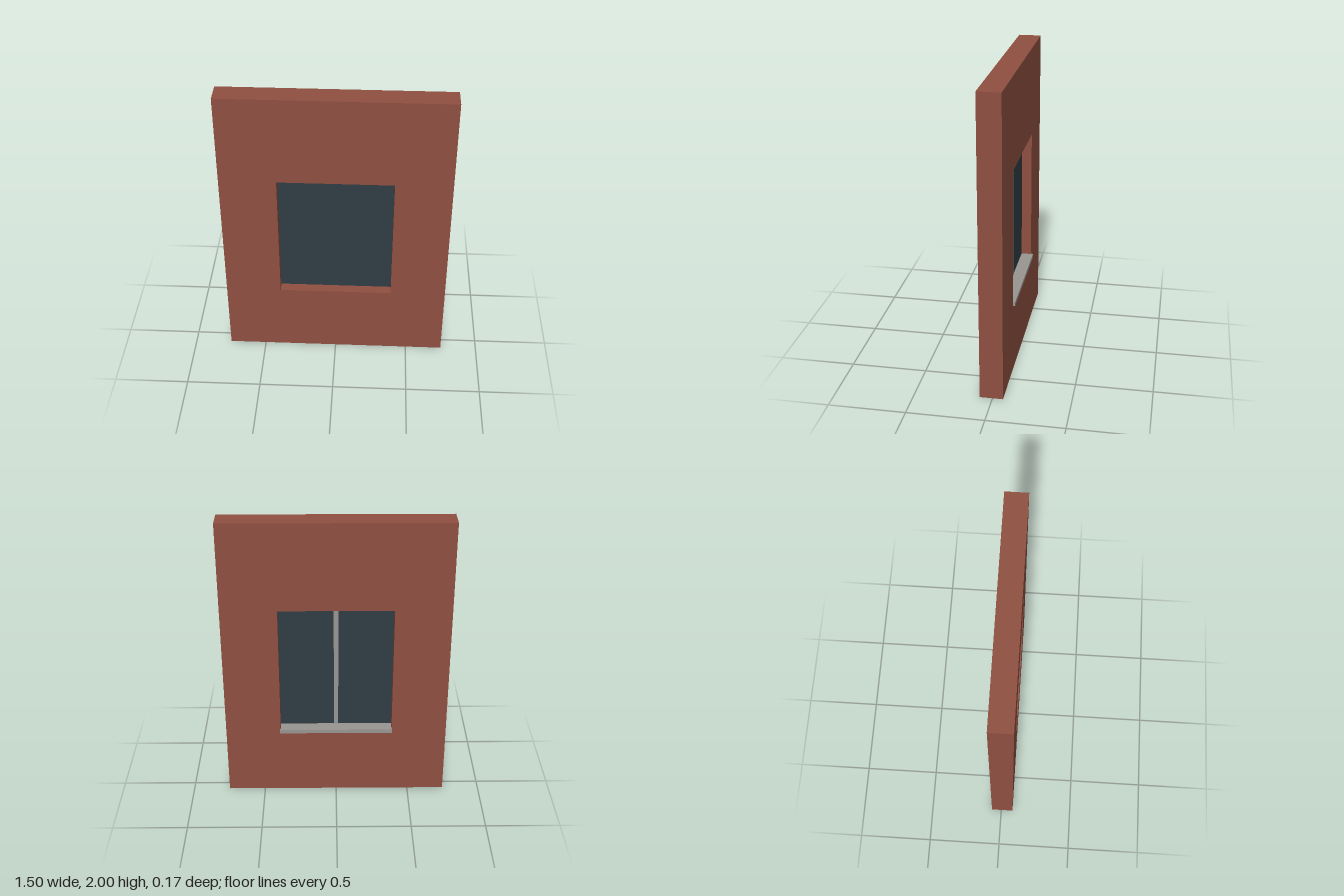
import * as THREE from 'three';

const W = 0.75, H = 2;                        // half width and height of the wall
const FRONT = 0.0825, BACK = -0.0675;         // wall faces
const OX = 0.378, OY0 = 0.5, OY1 = 1.4;       // window opening
const MID = (FRONT + BACK) / 2, DEPTH = FRONT - BACK;

const brick = new THREE.MeshStandardMaterial({ color: 0x8f5041, side: THREE.DoubleSide });
const glass = new THREE.MeshStandardMaterial({ color: 0x303d45 });
const trim = new THREE.MeshStandardMaterial({ color: 0x999691 });

function add(parent, name, geometry, material, x, y, z) {
  const mesh = new THREE.Mesh(geometry, material);
  mesh.name = name;
  mesh.position.set(x, y, z);
  parent.add(mesh);
  return mesh;
}

// Rectangular wall face with the window cut out
function faceGeometry() {
  const shape = new THREE.Shape();
  shape.moveTo(-W, 0).lineTo(W, 0).lineTo(W, H).lineTo(-W, H).closePath();
  const hole = new THREE.Path();
  hole.moveTo(-OX, OY0).lineTo(-OX, OY1).lineTo(OX, OY1).lineTo(OX, OY0).closePath();
  shape.holes.push(hole);
  return new THREE.ShapeGeometry(shape);
}

export function createModel() {
  const model = new THREE.Group();
  model.name = 'windowWall';

  // Hollow wall, open underneath
  const wall = new THREE.Group();
  wall.name = 'wall';
  model.add(wall);
  add(wall, 'frontFace', faceGeometry(), brick, 0, 0, FRONT);
  add(wall, 'backFace', faceGeometry(), brick, 0, 0, BACK).rotation.y = Math.PI;

  // Ends, and the upright panels that form the jambs and run down to the base
  for (const s of [-1, 1]) {
    add(wall, 'endFace', new THREE.PlaneGeometry(DEPTH, H), brick, s * W, H / 2, MID)
      .rotation.y = s * Math.PI / 2;
    add(wall, 'jamb', new THREE.PlaneGeometry(DEPTH, OY1), brick, s * OX, OY1 / 2, MID)
      .rotation.y = -s * Math.PI / 2;
  }

  // Top of the wall, and the ledge and head of the opening
  const levels = [['topFace', W, H, -1], ['ledge', OX, OY0, -1], ['head', OX, OY1, 1]];
  for (const [name, half, y, turn] of levels) {
    add(wall, name, new THREE.PlaneGeometry(2 * half, DEPTH), brick, 0, y, MID)
      .rotation.x = turn * Math.PI / 2;
  }

  // Window pane, centre bar and outside sill
  const paneH = OY1 - OY0, paneY = (OY0 + OY1) / 2;
  add(model, 'pane', new THREE.BoxGeometry(2 * OX, paneH, 0.015), glass, 0, paneY, MID);
  add(model, 'centreBar', new THREE.BoxGeometry(0.03, paneH, 0.016), trim, 0, paneY, MID - 0.004);
  add(model, 'sill', new THREE.BoxGeometry(0.766, 0.027, 0.0825), trim, 0, 0.4875, -0.04125);

  return model;
}
